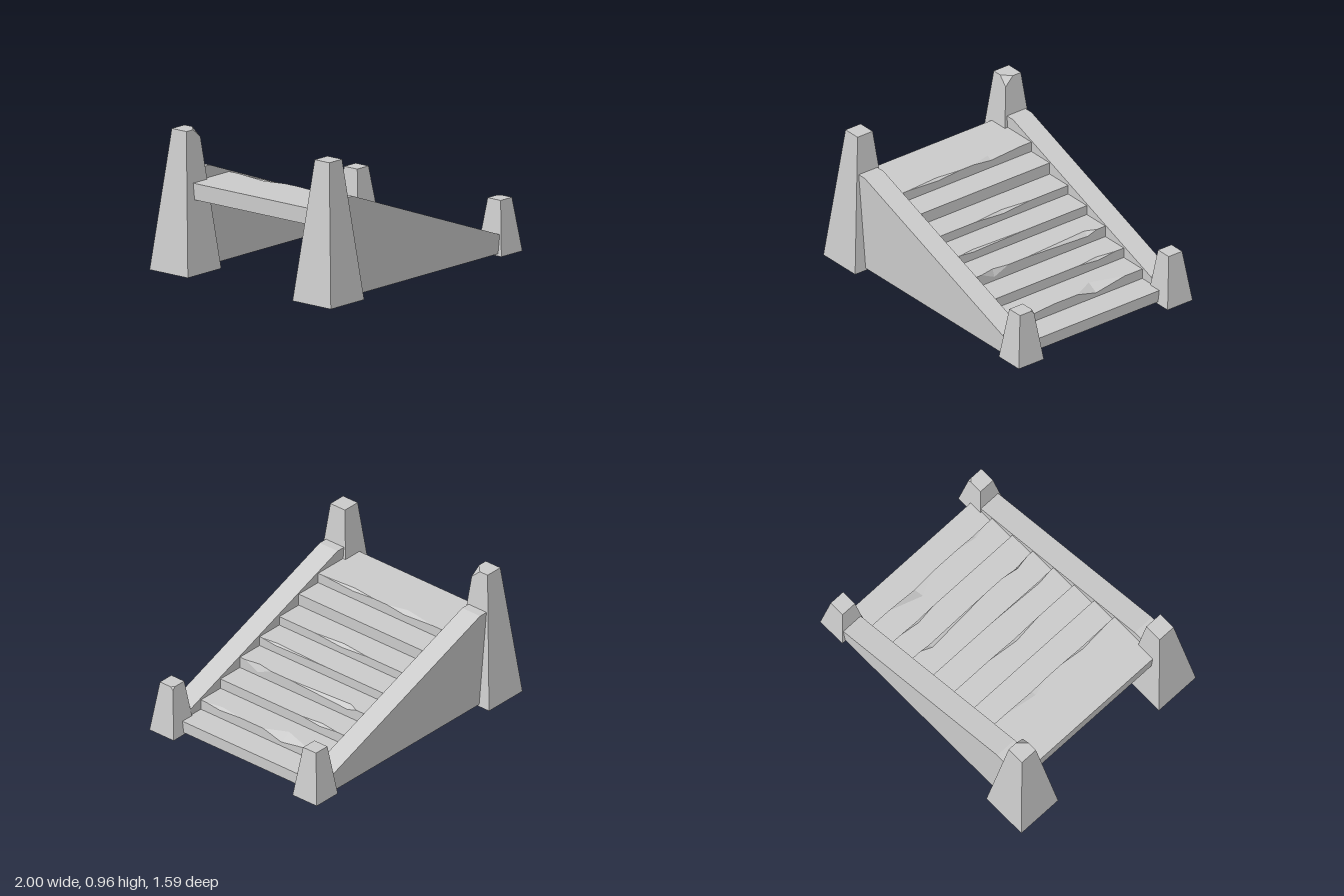
import * as THREE from 'three';
import { ConvexGeometry } from 'three/addons/geometries/ConvexGeometry.js';

const material = new THREE.MeshStandardMaterial({ color: 0xcccccc, flatShading: true, side: THREE.DoubleSide });

function addMesh(parent, name, geometry) {
  const mesh = new THREE.Mesh(geometry, material);
  mesh.name = name;
  parent.add(mesh);
  return mesh;
}

// Tapered square post; chip > 0 cuts the top corner facing +x and side sz
function postGeometry(base, top, height, chip, sz) {
  const points = [];
  for (const sx of [-1, 1]) {
    for (const s of [-1, 1]) {
      points.push(new THREE.Vector3(sx * base, 0, s * base));
      if (chip && sx === 1 && s === sz) {
        const low = top + (base - top) * chip / height;
        points.push(
          new THREE.Vector3(top - chip, height, s * top),
          new THREE.Vector3(top, height, s * (top - chip)),
          new THREE.Vector3(low, height - chip, s * low));
      } else {
        points.push(new THREE.Vector3(sx * top, height, s * top));
      }
    }
  }
  return new ConvexGeometry(points);
}

// Sweeps an [x, y] profile along z; profileAt(z index) may vary per station
function stripGeometry(stations, profileAt) {
  const pos = [];
  const tri = (...corners) => {
    const [a, b, c] = corners.map(p => new THREE.Vector3(...p));
    if (b.clone().sub(a).cross(c.clone().sub(a)).length() > 1e-9) pos.push(...corners.flat());
  };
  for (let k = 0; k < stations.length - 1; k++) {
    const p = profileAt(k), q = profileAt(k + 1);
    const z0 = stations[k], z1 = stations[k + 1];
    for (let i = 0; i < p.length - 1; i++) {
      const a = [...p[i], z0], b = [...q[i], z1];
      const c = [...q[i + 1], z1], d = [...p[i + 1], z0];
      tri(a, b, c);
      tri(a, c, d);
    }
  }
  const geometry = new THREE.BufferGeometry();
  geometry.setAttribute('position', new THREE.Float32BufferAttribute(pos, 3));
  geometry.computeVertexNormals();
  return geometry;
}

export function createModel() {
  const model = new THREE.Group();
  model.name = 'staircase';
  const halfWidth = 0.55;

  // Steps: nose x, tread y, chips in the nose [z start, z deepest, z end, depth in x, depth in y]
  const steps = [
    { x: -0.48, y: 0.612, chips: [[-0.47, -0.21, -0.06, 0.04, 0.018], [0.06, 0.24, 0.5, 0.02, 0.015]] },
    { x: -0.285, y: 0.54, chips: [] },
    { x: -0.09, y: 0.455, chips: [[-0.23, 0, 0.23, 0.025, 0.018]] },
    { x: 0.108, y: 0.39, chips: [[-0.03, 0.41, 0.52, 0.015, 0.012]] },
    { x: 0.305, y: 0.322, chips: [[-0.48, -0.4, 0.12, 0.035, 0.025], [0.27, 0.39, 0.5, 0.02, 0.052]] },
    { x: 0.5, y: 0.242, chips: [[-0.48, -0.33, -0.17, 0.02, 0.016]] },
    { x: 0.697, y: 0.17, chips: [[-0.4, -0.16, 0, 0.08, 0.042], [0.2, 0.38, 0.5, 0.025, 0.014]] },
    { x: 0.893, y: 0.098, chips: [] },
  ];
  const backX = -0.87, bottomY = 0.015;
  const stairs = new THREE.Group();
  stairs.name = 'steps';
  model.add(stairs);
  steps.forEach((step, i) => {
    const fromX = i ? steps[i - 1].x : backX;
    const toY = i < steps.length - 1 ? steps[i + 1].y : bottomY;
    const rows = [[-halfWidth, 0, 0]];
    for (const [za, zc, zb, dx, dy] of step.chips) rows.push([za, 0, 0], [zc, dx, dy], [zb, 0, 0]);
    rows.push([halfWidth, 0, 0]);
    addMesh(stairs, `step${i + 1}`, stripGeometry(rows.map(r => r[0]), k => [
      [fromX, step.y],
      [step.x - rows[k][1], step.y],
      [step.x, step.y - rows[k][2]],
      [step.x, toY],
    ]));
  });

  // Sloping underside and upper end face
  const underside = [[0.893, bottomY], [backX, 0.5], [backX, 0.612]];
  addMesh(stairs, 'underside', stripGeometry([-halfWidth, halfWidth], () => underside));

  // Side walls with sloping tops
  const wall = new THREE.Shape([
    [-0.8, 0.015], [0.85, 0.015], [0.85, 0.127], [-0.675, 0.695], [-0.8, 0.695],
  ].map(p => new THREE.Vector2(...p)));
  const wallGeometry = new THREE.ExtrudeGeometry(wall, { depth: 0.158, bevelEnabled: false });
  addMesh(model, 'leftWall', wallGeometry).position.z = halfWidth - 0.003;
  addMesh(model, 'rightWall', wallGeometry).position.z = -halfWidth - 0.158;

  // Corner posts: tall at the upper end, short at the lower end
  for (const s of [-1, 1]) {
    const side = s > 0 ? 'front' : 'back';
    const tall = addMesh(model, `${side}TallPost`, postGeometry(0.168, 0.064, 0.963, s < 0 ? 0.06 : 0, 1));
    tall.position.set(-0.832, 0, s * 0.628);
    const short = addMesh(model, `${side}ShortPost`, postGeometry(0.106, 0.057, 0.368, s > 0 ? 0.02 : 0, -1));
    short.position.set(0.891, 0, s * 0.63);
  }
  return model;
}
